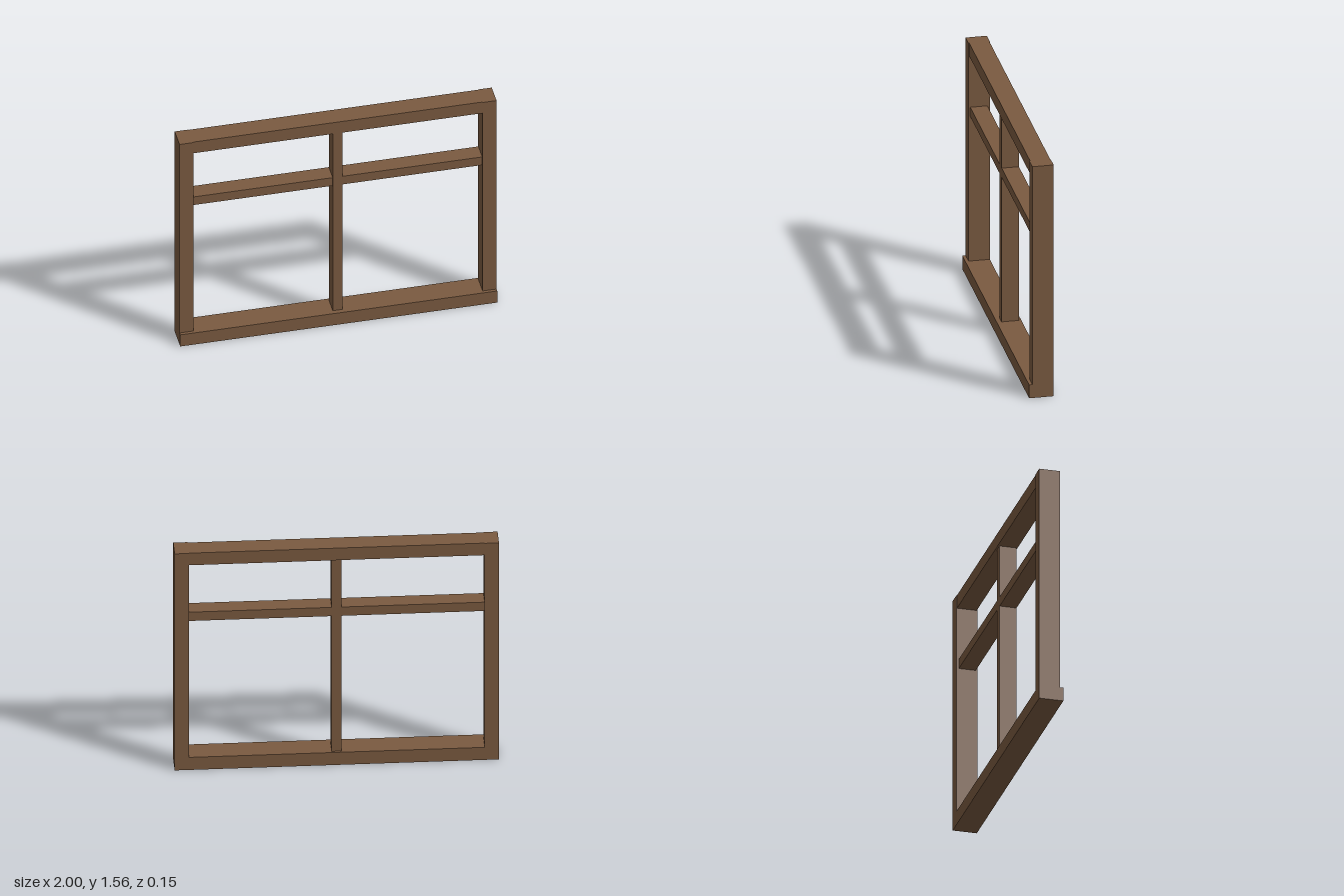
import * as THREE from 'three';

export function createModel() {
  const group = new THREE.Group();
  group.name = 'windowFrame';
  const wood = new THREE.MeshStandardMaterial({ color: 0x7a5a40 });

  // A straight timber given by its extents on each axis
  function timber(name, [x0, x1], [y0, y1], [z0, z1]) {
    const mesh = new THREE.Mesh(new THREE.BoxGeometry(x1 - x0, y1 - y0, z1 - z0), wood);
    mesh.position.set((x0 + x1) / 2, (y0 + y1) / 2, (z0 + z1) / 2);
    mesh.name = name;
    group.add(mesh);
  }

  const top = 1.557, sillTop = 0.09, railBottom = 1.47, inner = 0.912, bar = 0.031;

  // Outer frame: projecting sill, two side posts, slightly recessed head rail
  timber('sill', [-1, 1], [0, sillTop], [-0.077, 0.077]);
  timber('leftPost', [inner, 1], [sillTop, top], [-0.077, 0.057]);
  timber('rightPost', [-1, -inner], [sillTop, top], [-0.077, 0.057]);
  timber('headRail', [-inner, inner], [railBottom, top], [-0.074, 0.052]);

  // Thinner glazing bars: one upright, crossed by a bar in two halves
  timber('mullion', [-bar, bar], [sillTop, railBottom], [-0.063, 0.047]);
  timber('leftTransom', [bar, inner], [1.062, 1.125], [-0.062, 0.046]);
  timber('rightTransom', [-inner, -bar], [1.062, 1.125], [-0.062, 0.046]);

  return group;
}
